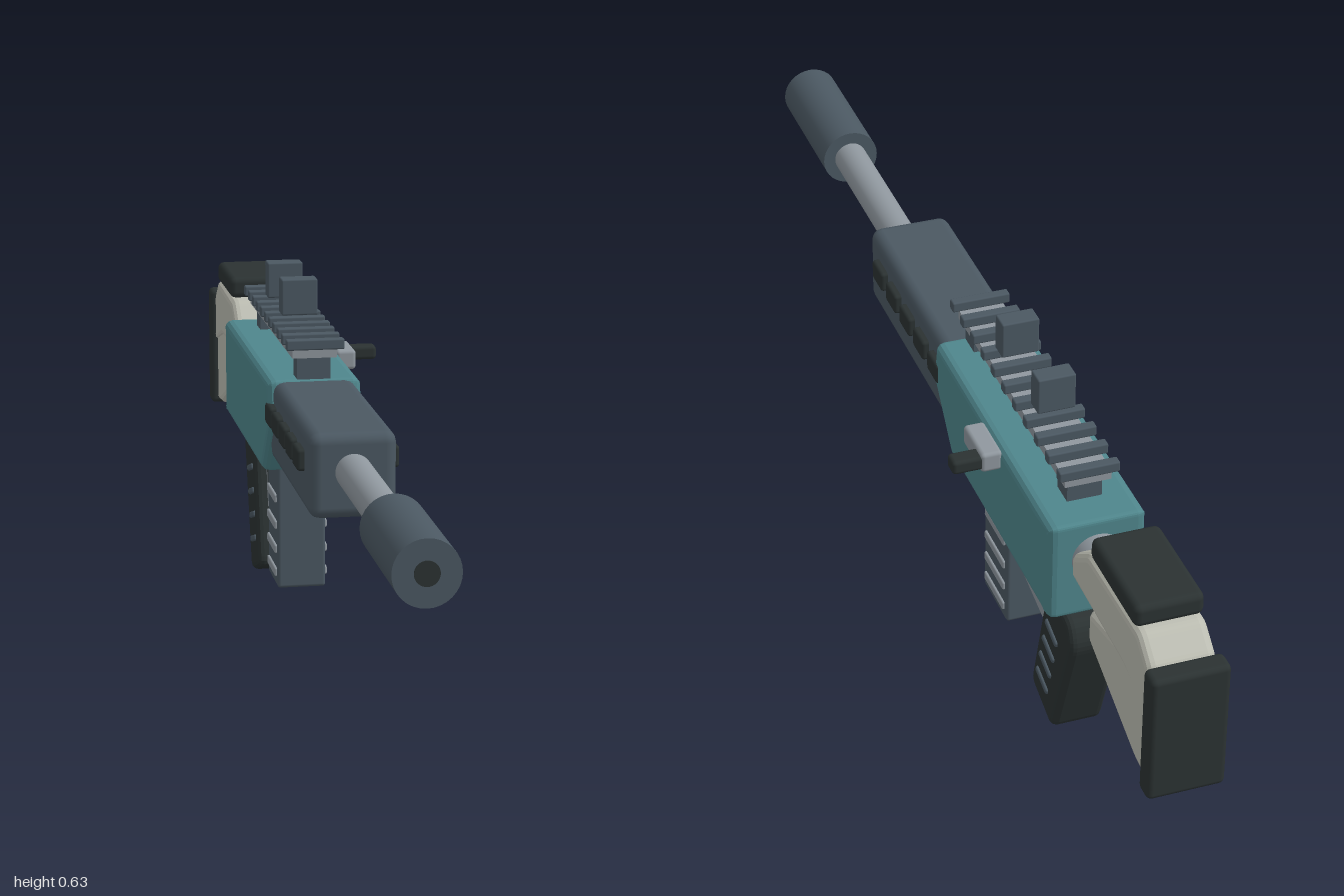
import * as THREE from 'three';
import { RoundedBoxGeometry } from 'three/addons/geometries/RoundedBoxGeometry.js';

const CX = -0.041; // centre line of the body

export function createModel() {
  const root = new THREE.Group();
  root.name = 'toyRifle';
  const material = (name, color) => {
    const m = new THREE.MeshStandardMaterial({ color });
    m.name = name;
    return m;
  };
  const teal = material('teal', 0x4f868c);
  const slate = material('slate', 0x4b5862);
  const dark = material('charcoal', 0x2b3232);
  const steel = material('steel', 0x8f979e);
  const cream = material('cream', 0xbcbdb2);

  const add = (name, geometry, mat, x = 0, y = 0, z = 0, parent = root) => {
    const mesh = new THREE.Mesh(geometry, mat);
    mesh.name = name;
    mesh.position.set(x, y, z);
    parent.add(mesh);
    return mesh;
  };

  // Box from its extents; r rounds the edges
  const box = (name, mat, [x0, x1], [y0, y1], [z0, z1], r = 0) => {
    const s = [x1 - x0, y1 - y0, Math.abs(z1 - z0)];
    const g = r ? new RoundedBoxGeometry(...s, 2, r) : new THREE.BoxGeometry(...s);
    return add(name, g, mat, (x0 + x1) / 2, (y0 + y1) / 2, (z0 + z1) / 2);
  };
  const centred = (w) => [CX - w / 2, CX + w / 2];

  // Cylinder lying along z
  const rod = (name, mat, r, z0, z1, y = 0.416) => {
    const g = new THREE.CylinderGeometry(r, r, Math.abs(z1 - z0), 32);
    g.rotateX(Math.PI / 2);
    return add(name, g, mat, CX, y, (z0 + z1) / 2);
  };

  // Outline of [z, y] points with softened corners
  const outline = (points, r, Type = THREE.Shape) => {
    const shape = new Type();
    const p = points.map(([a, b]) => new THREE.Vector2(a, b));
    p.forEach((c, i) => {
      const toward = (q) => {
        const d = q.clone().sub(c);
        return d.clone().setLength(Math.min(r, d.length() * 0.4)).add(c);
      };
      const a = toward(p[(i + p.length - 1) % p.length]);
      const b = toward(p[(i + 1) % p.length]);
      if (i === 0) shape.moveTo(a.x, a.y);
      else shape.lineTo(a.x, a.y);
      shape.quadraticCurveTo(c.x, c.y, b.x, b.y);
    });
    shape.closePath();
    return shape;
  };

  // Side profile extruded across the body
  const profile = (name, mat, points, width, bevel, r, hole) => {
    const shape = outline(points, r);
    if (hole) shape.holes.push(outline(hole, r, THREE.Path));
    const g = new THREE.ExtrudeGeometry(shape, {
      depth: width - 2 * bevel, bevelEnabled: bevel > 0, bevelThickness: bevel,
      bevelSize: bevel, bevelOffset: -bevel, bevelSegments: 3, curveSegments: 4,
    });
    g.translate(0, 0, bevel - width / 2);
    g.rotateY(-Math.PI / 2);
    return add(name, g, mat, CX);
  };

  // Receiver and fore-end
  profile('receiver', teal, [[-0.604, 0.302], [-0.115, 0.302], [-0.018, 0.408],
    [-0.034, 0.485], [-0.604, 0.485]], 0.168, 0.015, 0.008);
  box('handguard', slate, centred(0.148), [0.335, 0.482], [-0.075, 0.373], 0.02);
  for (let i = 0; i < 5; i++) {
    const z = 0.292 - i * 0.0785;
    for (const side of [-1, 1]) {
      const x = CX + side * 0.078;
      box('handguardVent', dark, [x - 0.009, x + 0.009], [0.407, 0.445], [z - 0.028, z + 0.028], 0.006);
    }
  }

  // Barrel and muzzle
  rod('barrel', steel, 0.031, 0.36, 0.74);
  rod('muzzleSleeve', slate, 0.0535, 0.73, 0.998);
  rod('bore', dark, 0.02, 0.99, 1.0);

  // Top rail with cross teeth and sight blocks
  for (const z of [-0.062, -0.518]) {
    box('railSupport', slate, centred(0.06), [0.48, 0.528], [z - 0.022, z + 0.022]);
  }
  box('railBar', steel, centred(0.08), [0.525, 0.542], [-0.555, -0.03]);
  for (let i = 0; i < 11; i++) {
    const z = -0.028 - i * 0.0525;
    box('railTooth', slate, centred(0.104), [0.541, 0.56], [z - 0.009, z + 0.009], 0.003);
  }
  for (const z of [-0.217, -0.39]) {
    box('sightBlock', slate, centred(0.066), [0.569, 0.635], [z - 0.018, z + 0.018], 0.003);
  }

  // Side handle
  box('handleBase', steel, [0.04, 0.077], [0.447, 0.484], [-0.375, -0.28], 0.007);
  box('handleKnob', dark, [0.07, 0.126], [0.452, 0.478], [-0.373, -0.34], 0.007);

  // Magazine with raised ribs on both sides
  box('magazine', slate, centred(0.089), [0.06, 0.296], [-0.304, -0.185], 0.006);
  for (const y of [0.228, 0.178, 0.132, 0.088]) {
    for (const side of [-1, 1]) {
      const x = CX + side * 0.044;
      box('magazineRib', steel, [x - 0.005, x + 0.005], [y - 0.008, y + 0.008], [-0.293, -0.196], 0.003);
    }
  }

  // Grip, its mount and slanted ribs
  box('gripMount', slate, centred(0.08), [0.262, 0.31], [-0.57, -0.485]);
  profile('grip', dark, [[-0.532, 0], [-0.428, 0.034], [-0.492, 0.275], [-0.52, 0.284],
    [-0.598, 0.28], [-0.616, 0.238]], 0.091, 0.012, 0.02);
  for (let i = 0; i < 4; i++) {
    for (const side of [-1, 1]) {
      const rib = add('gripRib', new RoundedBoxGeometry(0.01, 0.012, 0.055, 2, 0.004), slate,
        CX + side * 0.045, 0.208 - i * 0.044, -0.527 + i * 0.013);
      rib.rotation.x = -0.3;
    }
  }

  // Trigger guard and trigger
  profile('triggerGuard', steel, [[-0.31, 0.283], [-0.31, 0.178], [-0.465, 0.142],
    [-0.5, 0.283]], 0.045, 0.004, 0.008,
  [[-0.336, 0.26], [-0.336, 0.203], [-0.46, 0.175], [-0.485, 0.26]]);
  const triggerCurve = new THREE.CatmullRomCurve3([
    [0.272, -0.385], [0.24, -0.402], [0.215, -0.408], [0.195, -0.398],
  ].map(([y, z]) => new THREE.Vector3(CX, y, z)));
  add('trigger', new THREE.TubeGeometry(triggerCurve, 12, 0.009, 8), steel);

  // Stock: tube, two converging arms, cheek rest and butt pad
  rod('stockTube', steel, 0.044, -0.71, -0.6, 0.414);
  profile('stockUpperArm', cream, [[-0.63, 0.408], [-0.63, 0.452], [-0.7, 0.502], [-0.915, 0.507],
    [-0.962, 0.47], [-0.962, 0.37], [-0.86, 0.4]], 0.114, 0.014, 0.012);
  profile('stockLowerArm', cream, [[-0.7, 0.39], [-0.86, 0.428], [-0.962, 0.43], [-0.962, 0.245],
    [-0.91, 0.25], [-0.7, 0.33]], 0.106, 0.014, 0.012);
  box('cheekRest', dark, centred(0.116), [0.505, 0.546], [-0.905, -0.712], 0.012);
  box('buttPad', dark, centred(0.131), [0.24, 0.477], [-1, -0.96], 0.01);

  return root;
}
